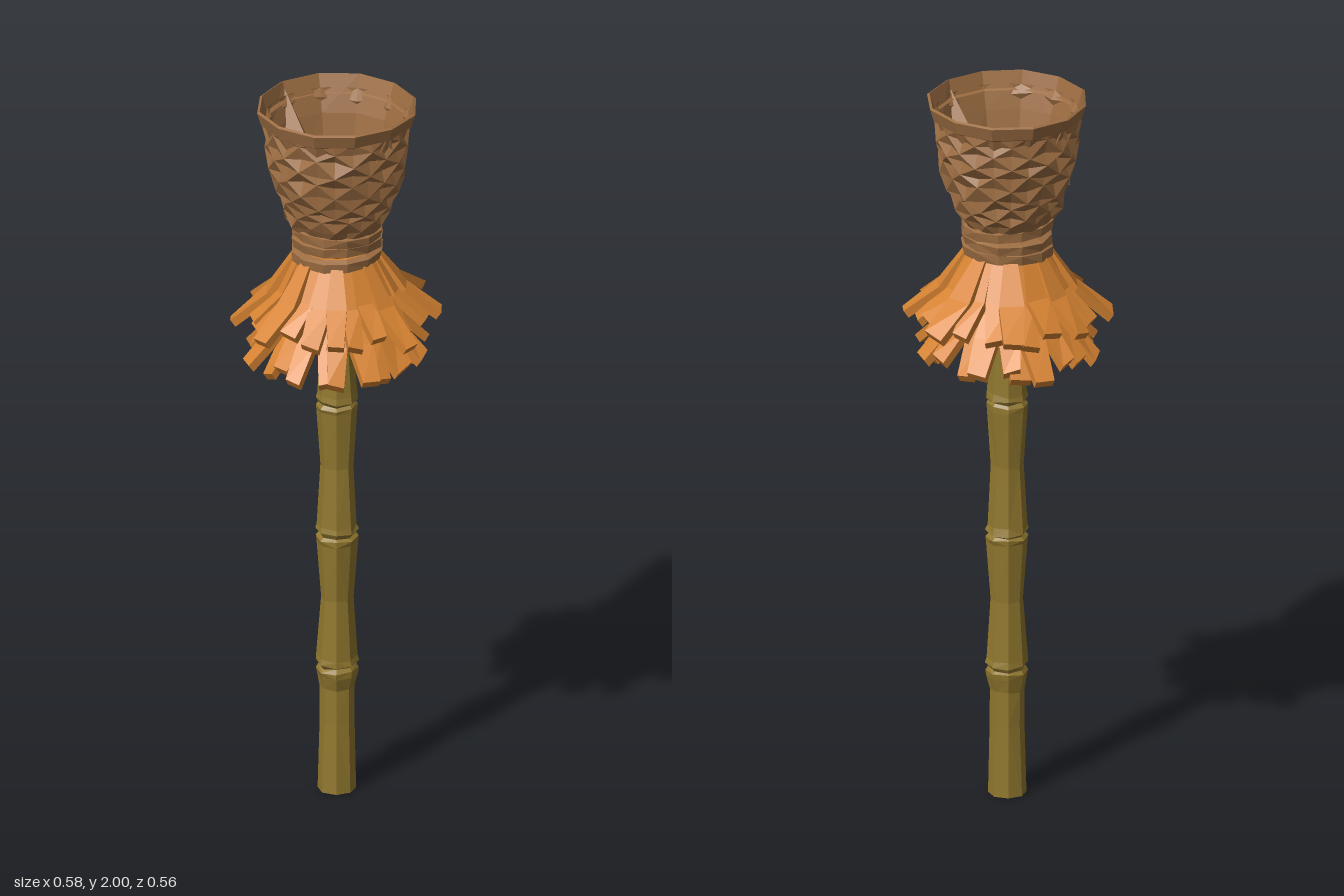
import * as THREE from 'three';

const flat = (name, color, side = THREE.FrontSide) => {
  const m = new THREE.MeshStandardMaterial({ color, flatShading: true, side });
  m.name = name;
  return m;
};

// repeatable noise in -1..1
const noise = (i, j = 0) => {
  const s = Math.sin(i * 127.1 + j * 311.7) * 43758.5453;
  return (s - Math.floor(s)) * 2 - 1;
};

// skin rings of [radius, y] with n sides; rule(i, j) returns offsets [dr, dy]
function loft(rings, n, rule = () => [0, 0]) {
  const pos = [], index = [];
  rings.forEach(([r, y], i) => {
    for (let j = 0; j < n; j++) {
      const a = (j / n) * Math.PI * 2, [dr, dy] = r > 0 ? rule(i, j) : [0, 0];
      pos.push(Math.sin(a) * (r + dr), y + dy, Math.cos(a) * (r + dr));
    }
  });
  for (let i = 0; i < rings.length - 1; i++) {
    for (let j = 0; j < n; j++) {
      const k = (j + 1) % n, a = i * n + j, b = i * n + k, c = b + n, d = a + n;
      if ((i + j) % 2) index.push(a, b, c, a, c, d);
      else index.push(a, b, d, b, c, d);
    }
  }
  const g = new THREE.BufferGeometry();
  g.setAttribute('position', new THREE.Float32BufferAttribute(pos, 3));
  g.setIndex(index);
  const out = g.toNonIndexed();
  out.computeVertexNormals();
  return out;
}

// a strip of thatch that follows three [radius, y] points outward and down
function leafGeometry(path, width, angle, skew) {
  const g = new THREE.BoxGeometry(1, 1, 1, 1, 2, 1).toNonIndexed();
  const p = g.attributes.position;
  for (let i = 0; i < p.count; i++) {
    const k = Math.round((0.5 - p.getY(i)) * 2);
    const [r, y] = path[k];
    const side = p.getX(i), depth = p.getZ(i);
    const x = side * width * [0.6, 1.1, 0.85][k] + skew * k * 0.01;
    const rr = r + depth * 0.014;
    const yy = y + depth * 0.02 + (k === 2 ? side * skew * 0.018 : 0);
    p.setXYZ(i, x, yy, rr);
  }
  g.rotateY(angle);
  g.computeVertexNormals();
  return g;
}

export function createModel() {
  const torch = new THREE.Group();
  torch.name = 'torch';
  const bamboo = flat('bamboo', 0x91782f);
  const thatch = flat('orange thatch', 0xd68332, THREE.DoubleSide);
  const wicker = flat('brown wicker', 0x9c6d42, THREE.DoubleSide);
  const add = (parent, name, geometry, material) => {
    const m = new THREE.Mesh(geometry, material);
    m.name = name;
    parent.add(m);
    return m;
  };

  // bamboo pole: pinched segments with a notched joint between each
  const poleRings = [[0, 0], [0.053, 0], [0.046, 0.2], [0.046, 0.3]];
  for (const y of [0.36, 0.745, 1.13]) {
    poleRings.push([0.056, y - 0.02], [0.058, y - 0.005], [0.05, y + 0.002],
      [0.058, y + 0.012], [0.054, y + 0.028], [0.043, y + 0.2]);
  }
  poleRings.push([0.05, 1.5], [0, 1.5]);
  add(torch, 'bambooPole', loft(poleRings, 8, (i, j) =>
    [noise(i, j) * 0.002, i > 1 ? noise(j, i) * 0.004 : 0]), bamboo);

  // thatch skirt: two tiers of splayed strips in clusters of three
  const skirt = new THREE.Group();
  skirt.name = 'thatchSkirt';
  torch.add(skirt);
  const tiers = [
    { name: 'upperLeaf', path: [[0.1, 1.565], [0.168, 1.46], [0.258, 1.385]], turn: 0 },
    { name: 'lowerLeaf', path: [[0.09, 1.46], [0.165, 1.36], [0.238, 1.28]], turn: Math.PI / 8 },
  ];
  tiers.forEach(({ name, path, turn }, t) => {
    for (let c = 0; c < 8; c++) {
      for (let s = -1; s <= 1; s++) {
        const id = c * 3 + s + t * 50;
        const reach = (s ? -0.022 : 0.006) + noise(id, 1) * 0.012;
        const drop = noise(id, 2) * 0.018;
        const points = path.map(([r, y], k) =>
          [r + reach * k / 2 + (s ? 0 : 0.006), y + (k ? drop * k / 2 : 0)]);
        const angle = turn + c * Math.PI / 4 + s * 0.26 + noise(id, 3) * 0.06;
        add(skirt, name, leafGeometry(points, 0.056 + noise(id, 4) * 0.01, angle, noise(id, 5)), thatch);
      }
    }
  });
  // closed thatch layers behind the strips
  add(skirt, 'upperThatch', loft([[0.17, 1.44], [0.105, 1.565], [0.04, 1.565]], 16), thatch);
  add(skirt, 'lowerThatch', loft([[0.165, 1.345], [0.08, 1.47]], 16), thatch);

  // binding: uneven wraps around the neck
  [1.575, 1.61, 1.643].forEach((y, b) => {
    const wrap = [[0.105, y - 0.02], [0.122, y - 0.014], [0.124, y + 0.012], [0.105, y + 0.02]];
    add(torch, 'neckBinding', loft(wrap, 12, (i, j) =>
      [noise(i + b * 9, j) * 0.004, Math.sin(j * Math.PI / 6 + b * 2) * 0.006]), wicker);
  });

  // woven basket: alternating bumps over a flared cup
  const cup = [[0, 1.64], [0.108, 1.64], [0.128, 1.675], [0.14, 1.705], [0.15, 1.735], [0.162, 1.765],
    [0.173, 1.8], [0.179, 1.835], [0.184, 1.87], [0.187, 1.905], [0.189, 1.94], [0.195, 1.965]];
  add(torch, 'wovenBasket', loft(cup, 24, (i, j) => i < 2 || i > 10 ? [0, 0] :
    [((i + j) % 2 ? 0.008 : -0.006) + noise(i, j) * 0.005, noise(j, i) * 0.009]), wicker);

  // rim, inner wall and floor
  const bowl = [[0.188, 1.95], [0.206, 1.96], [0.217, 1.996], [0.21, 2], [0.178, 1.9], [0.146, 1.76], [0, 1.755]];
  add(torch, 'basketRimAndBowl', loft(bowl, 12, (i, j) =>
    i < 4 ? [noise(j, 7) * 0.003, 0] : [noise(i, j) * 0.004, 0]), wicker);

  // two folds of the lining that run from the rim to the floor
  for (const turn of [0, Math.PI]) {
    const g = new THREE.BufferGeometry();
    g.setAttribute('position', new THREE.Float32BufferAttribute([
      0, 1.985, -0.208, -0.085, 1.765, -0.15, -0.01, 1.765, -0.035,
      0, 1.985, -0.208, -0.01, 1.765, -0.035, 0.075, 1.765, -0.15], 3));
    g.computeVertexNormals();
    add(torch, 'liningFold', g, wicker).rotation.y = turn;
  }
  return torch;
}
